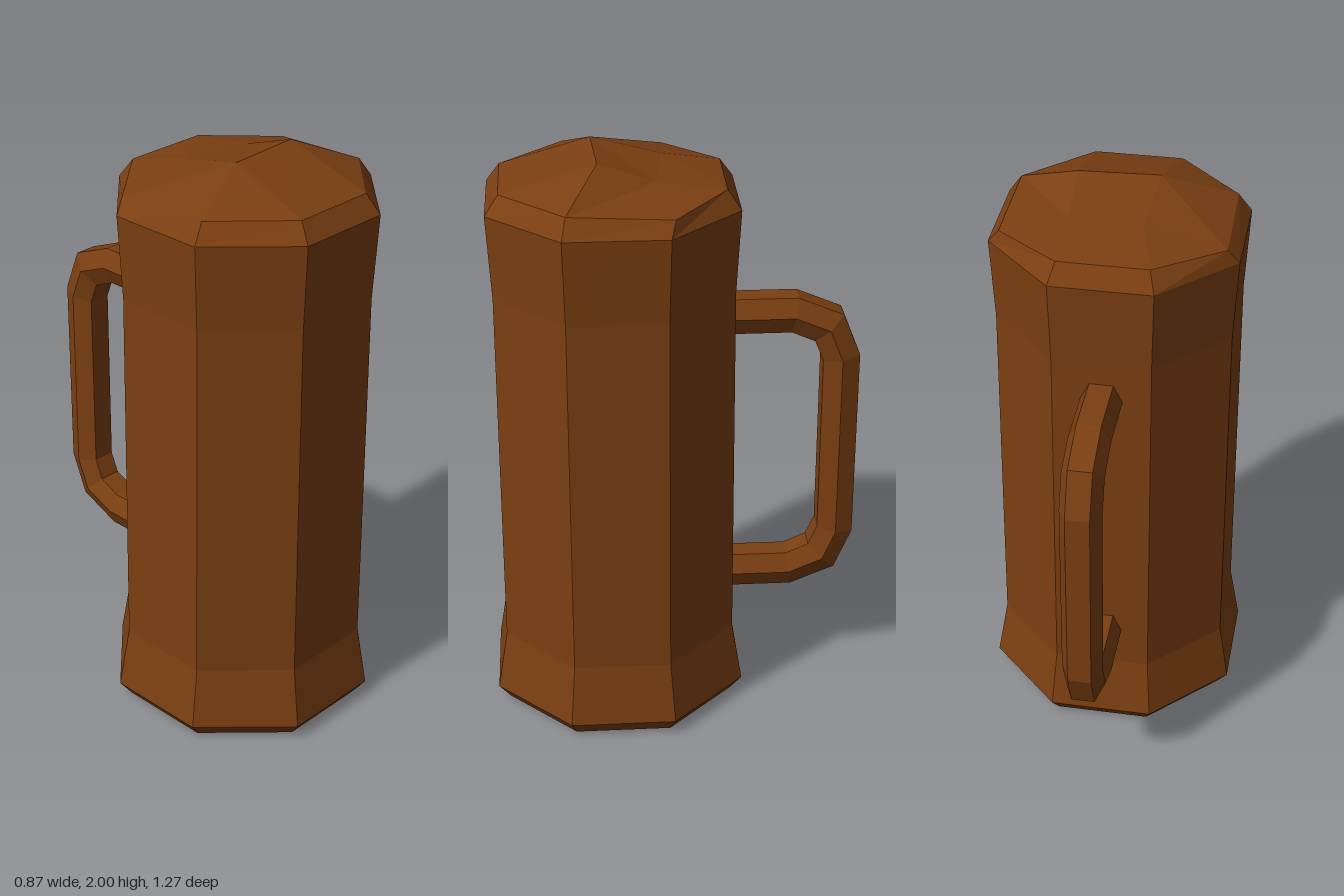
import * as THREE from 'three';

const brown = new THREE.MeshStandardMaterial({ color: 0x7b3f12, flatShading: true, side: THREE.DoubleSide });
const CENTRE_Z = 0.2; // the body sits forward so the handle balances it

// Flat-shaded mesh from corner points and polygon faces (counter-clockwise from outside)
function polyMesh(name, points, faces) {
  const index = [];
  for (const f of faces) for (let i = 1; i < f.length - 1; i++) index.push(f[0], f[i], f[i + 1]);
  const geo = new THREE.BufferGeometry();
  geo.setAttribute('position', new THREE.Float32BufferAttribute(points.flat(), 3));
  geo.setIndex(index);
  const flat = geo.toNonIndexed();
  flat.computeVertexNormals();
  const mesh = new THREE.Mesh(flat, brown);
  mesh.name = name;
  return mesh;
}

// Octagonal body: [half width across flats, height]
function makeBody() {
  const profile = [[0, 0], [0.395, 0], [0.435, 0.055], [0.4, 0.27], [0.395, 1.55], [0.41, 1.84]]
    .map(([a, y]) => new THREE.Vector2(a / Math.cos(Math.PI / 8), y));
  const body = new THREE.Mesh(new THREE.LatheGeometry(profile, 8, Math.PI / 8), brown);
  body.name = 'body';
  body.position.z = CENTRE_Z;
  return body;
}

// Domed lid: shoulder ring, rim ring and an off-centre sloping crown
function makeLid() {
  const shoulder = [];
  const r = 0.41 / Math.cos(Math.PI / 8);
  for (let i = 0; i < 8; i++) {
    const t = (i - 0.5) * Math.PI / 4;
    shoulder.push([r * Math.sin(t), 1.84, CENTRE_Z + r * Math.cos(t)]);
  }
  const rim = [
    [-0.15, 1.905, 0.565], [0.15, 1.905, 0.565], [0.365, 1.905, 0.355], [0.37, 1.89, 0.015],
    [0.15, 1.905, -0.165], [-0.15, 1.905, -0.165], [-0.37, 1.89, 0.015], [-0.365, 1.905, 0.355],
  ];
  const crown = [[-0.12, 2, 0.265], [0.15, 2, 0.25], [0.15, 1.935, 0.06], [-0.1, 1.945, 0.03]];
  const faces = [];
  for (let i = 0; i < 8; i++) {
    const j = (i + 1) % 8;
    faces.push([i, j, 8 + j, 8 + i]);
  }
  const [a, b, c, d] = [16, 17, 18, 19];
  faces.push(
    [a, b, c, d], [8, 9, b, a], [9, 10, b], [10, 11, c, b],
    [11, 12, c], [12, 13, d, c], [13, 14, d], [14, 15, a, d], [15, 8, a],
  );
  return polyMesh('lid', [...shoulder, ...rim, ...crown], faces);
}

// Hexagonal handle lofted along matching outer and inner outlines, as [z, y]
function makeHandle() {
  const outer = [[-0.16, 1.475], [-0.42, 1.475], [-0.575, 1.41], [-0.635, 1.26],
    [-0.635, 0.57], [-0.575, 0.425], [-0.42, 0.36], [-0.16, 0.36]];
  const inner = [[-0.16, 1.35], [-0.4, 1.35], [-0.48, 1.315], [-0.51, 1.24],
    [-0.51, 0.59], [-0.48, 0.52], [-0.4, 0.485], [-0.16, 0.485]];
  const points = [];
  outer.forEach(([zo, yo], i) => {
    const [zi, yi] = inner[i];
    const zm = (zo + zi) / 2, ym = (yo + yi) / 2;
    points.push([0.04, yo, zo], [0.07, ym, zm], [0.04, yi, zi],
      [-0.04, yi, zi], [-0.07, ym, zm], [-0.04, yo, zo]);
  });
  const faces = [];
  for (let s = 0; s < outer.length - 1; s++) {
    for (let k = 0; k < 6; k++) {
      const n = (k + 1) % 6, p = s * 6;
      faces.push([p + k, p + 6 + k, p + 6 + n, p + n].reverse());
    }
  }
  return polyMesh('handle', points, faces);
}

export function createModel() {
  const tankard = new THREE.Group();
  tankard.name = 'tankard';
  tankard.add(makeBody(), makeLid(), makeHandle());
  return tankard;
}
